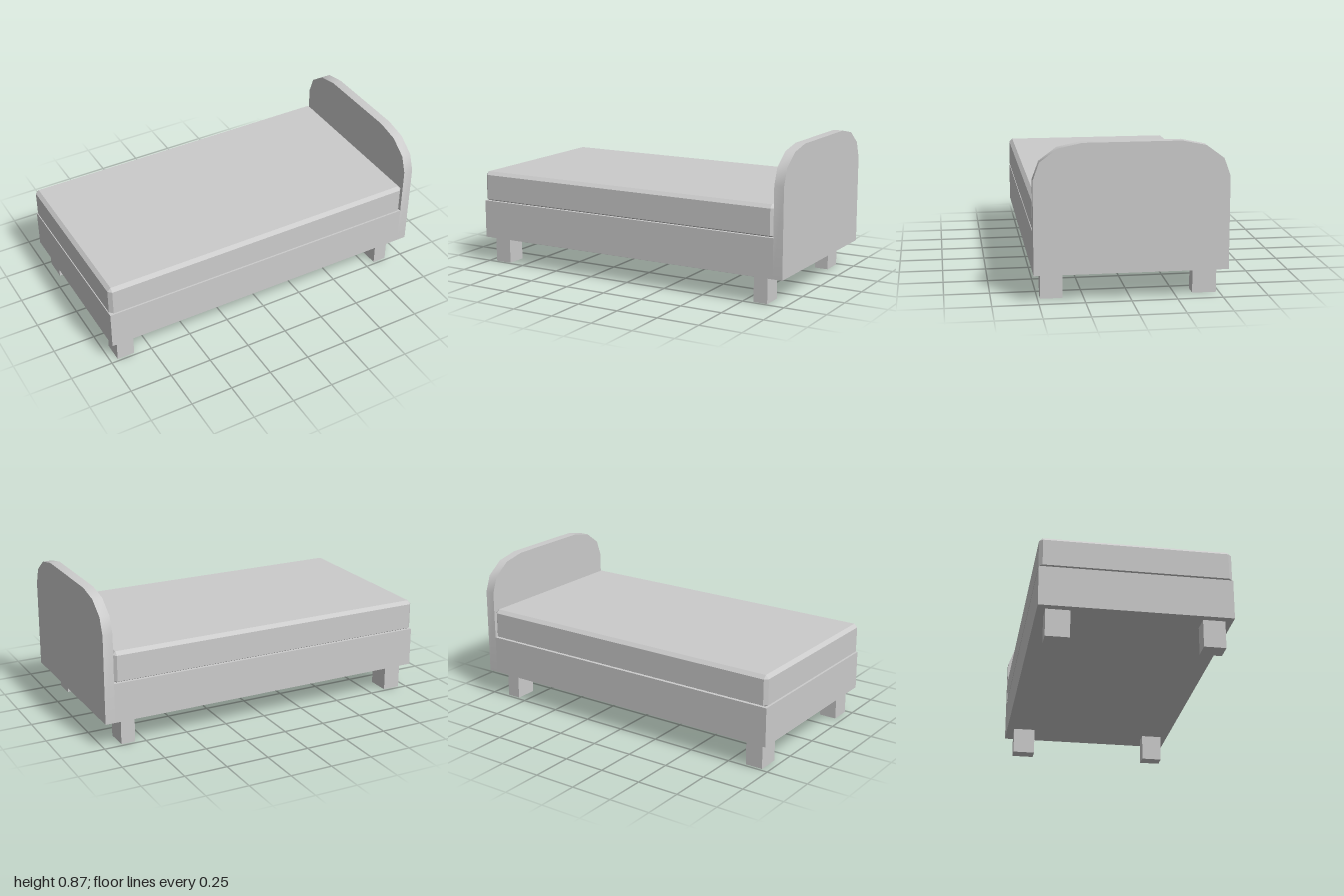
import * as THREE from 'three';
import { toCreasedNormals } from 'three/addons/utils/BufferGeometryUtils.js';
import { ConvexGeometry } from 'three/addons/geometries/ConvexGeometry.js';

const HALF_DEPTH = 0.527;
const FRAME_BOTTOM = 0.157;
const FRAME_TOP = 0.385;
const BOARD_X = 0.943;

export function createModel() {
  const group = new THREE.Group();
  group.name = 'bed';
  const material = new THREE.MeshStandardMaterial({ color: 0xcccccc });

  const add = (name, geometry) => {
    const mesh = new THREE.Mesh(geometry, material);
    mesh.name = name;
    group.add(mesh);
    return mesh;
  };

  // Box given by its lower and upper corners
  const addBox = (name, [x0, y0, z0], [x1, y1, z1]) => {
    const mesh = add(name, new THREE.BoxGeometry(x1 - x0, y1 - y0, z1 - z0));
    mesh.position.set((x0 + x1) / 2, (y0 + y1) / 2, (z0 + z1) / 2);
  };

  // Bed base
  addBox('base', [-1, FRAME_BOTTOM, -HALF_DEPTH], [BOARD_X, FRAME_TOP, HALF_DEPTH]);

  // Headboard: faceted arch, mirrored about the middle and extruded along x
  const halfArch = [[HALF_DEPTH, FRAME_BOTTOM], [HALF_DEPTH, 0.67], [0.492, 0.766], [0.395, 0.838], [0.265, 0.865]];
  const mirrored = halfArch.map(([z, y]) => [-z, y]).reverse();
  const arch = new THREE.Shape([...halfArch, ...mirrored].map(([z, y]) => new THREE.Vector2(z, y)));
  const board = new THREE.ExtrudeGeometry(arch, { depth: 1 - BOARD_X, bevelEnabled: false });
  board.rotateY(Math.PI / 2).translate(BOARD_X, 0, 0);
  add('headboard', toCreasedNormals(board, 0.7));

  // Mattress: box with chamfered edges, inset at top, bottom and upright corners
  const c = 0.02;
  const halfLength = (BOARD_X + 1) / 2 - 0.001;
  const points = [];
  for (const sx of [-1, 1]) {
    for (const sz of [-1, 1]) {
      const corner = (y, dx, dz) =>
        points.push(new THREE.Vector3(sx * (halfLength - dx), y, sz * (HALF_DEPTH - dz)));
      corner(FRAME_TOP, c, c);
      corner(0.565, c, c);
      for (const y of [0.395, 0.545]) {
        corner(y, c, 0);
        corner(y, 0, c);
      }
    }
  }
  add('mattress', new ConvexGeometry(points)).position.x = (BOARD_X - 1) / 2;

  // Four block legs
  for (const [x0, x1] of [[-0.957, -0.853], [0.81, 0.893]]) {
    for (const [z0, z1] of [[-0.483, -0.35], [0.363, 0.485]]) {
      addBox('leg', [x0, 0, z0], [x1, FRAME_BOTTOM, z1]);
    }
  }

  return group;
}
